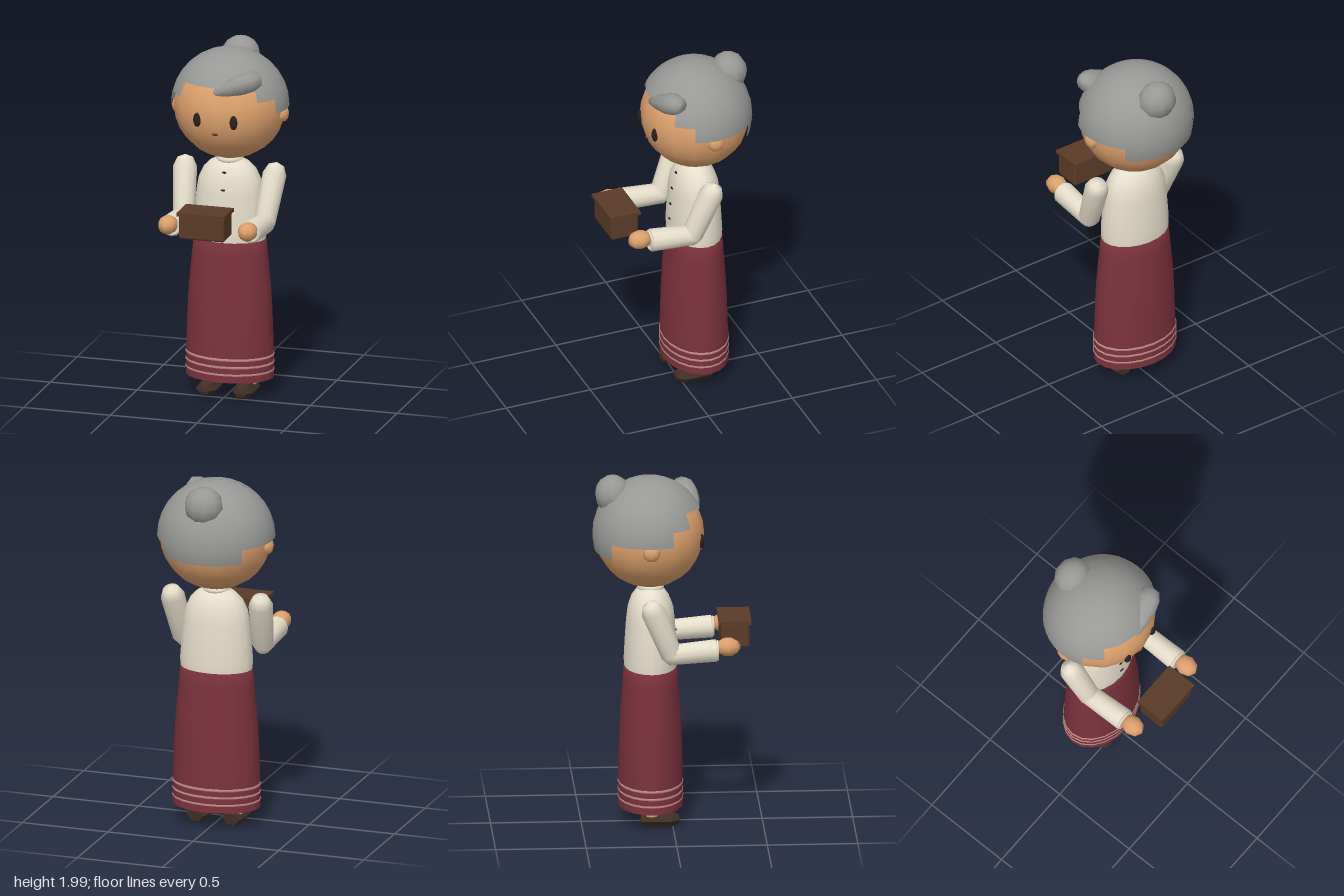
import * as THREE from 'three';
import { mergeGeometries } from 'three/addons/utils/BufferGeometryUtils.js';
import { RoundedBoxGeometry } from 'three/addons/geometries/RoundedBoxGeometry.js';

const mat = (color, side = THREE.FrontSide) => new THREE.MeshStandardMaterial({ color, side });
const V = (x, y, z) => new THREE.Vector3(x, y, z);
const UP = V(0, 1, 0);
const CZ = -0.117; // z of the body axis

export function createModel() {
  const model = new THREE.Group();
  model.name = 'womanWithBox';
  const skin = mat(0xdca06c), hairMat = mat(0x989896, THREE.DoubleSide);
  const cloth = mat(0xe6decb, THREE.DoubleSide), skirtMat = mat(0x7b323d, THREE.DoubleSide);
  const dark = mat(0x2a211d), shoeMat = mat(0x3f2e26), wood = mat(0x5b3b27), stripeMat = mat(0xc08a86, THREE.DoubleSide);

  const add = (name, geometry, material, pos = [0, 0, 0], parent = model) => {
    const mesh = new THREE.Mesh(geometry, material);
    mesh.name = name;
    mesh.position.set(...pos);
    parent.add(mesh);
    return mesh;
  };
  const ellipsoid = (rx, ry, rz, w = 12, h = 8) => new THREE.SphereGeometry(1, w, h).scale(rx, ry, rz);
  const lathe = (pts, segs, depth = 1) =>
    new THREE.LatheGeometry(pts.map(p => new THREE.Vector2(...p)), segs).scale(1, 1, depth);

  // A tapered, round-ended limb between two points
  const limb = (name, a, b, ra, rb, material, capA = 0.8, capB = 0.8) => {
    const len = a.distanceTo(b);
    const pts = [[0, -ra * capA], [ra * 0.65, -ra * capA * 0.75], [ra, 0], [rb, len],
      [rb * 0.65, len + rb * capB * 0.75], [0, len + rb * capB]];
    const mesh = add(name, lathe(pts, 12), material, a.toArray());
    mesh.quaternion.setFromUnitVectors(UP, b.clone().sub(a).normalize());
    return mesh;
  };

  // Head and face
  add('head', ellipsoid(0.313, 0.3, 0.303, 16, 14), skin, [0, 1.665, -0.123]);
  for (const s of [1, -1]) {
    add('ear', ellipsoid(0.035, 0.047, 0.048, 8, 6), skin, [s * 0.302, 1.635, -0.127]);
    add('eye', ellipsoid(0.023, 0.041, 0.018, 10, 8), dark, [s * 0.105, 1.645, 0.158]);
  }
  add('mouth', ellipsoid(0.018, 0.008, 0.008, 8, 6), mat(0x6b3a28), [0, 1.57, 0.163]);

  // Hair cap, sector by sector, with a stepped lower edge
  const sectors = [], step = Math.PI / 8, hairY = 1.665, hairR = 0.322;
  for (let i = 0; i < 16; i++) {
    const a = -Math.PI + i * step;
    const mid = Math.abs(a + step / 2) * 180 / Math.PI;
    const edge = mid < 45 ? 1.83 : mid < 67.5 ? 1.75 : mid < 135 ? 1.667 : 1.58;
    sectors.push(new THREE.SphereGeometry(1, 1, 8, a + Math.PI / 2, step, 0, Math.acos((edge - hairY) / hairR)));
  }
  add('hair', mergeGeometries(sectors).scale(0.328, hairR, 0.315), hairMat, [0, hairY, -0.123]);
  add('bun', ellipsoid(0.111, 0.108, 0.1, 10, 8), hairMat, [0, 1.892, -0.325]);

  // Swept lock over the forehead, thicker at its outer end
  const lock = add('forelock', lathe([[0, 0], [0.025, 0.03], [0.047, 0.1], [0.06, 0.18],
    [0.06, 0.24], [0.042, 0.285], [0, 0.3]], 10, 1.15), hairMat, [-0.035, 1.785, 0.135]);
  lock.quaternion.setFromUnitVectors(UP, V(0.265, 0.1, -0.08).normalize());

  // Neck, collar and blouse
  add('neck', new THREE.CylinderGeometry(0.055, 0.06, 0.09, 12), skin, [0, 1.375, CZ]);
  add('collar', new THREE.TorusGeometry(0.062, 0.014, 6, 14).rotateX(Math.PI / 2), cloth, [0, 1.358, CZ]);
  const blouse = [[0.203, 0.89], [0.208, 0.95], [0.2, 1.06], [0.19, 1.17], [0.178, 1.24],
    [0.15, 1.3], [0.11, 1.34], [0.06, 1.365]];
  add('blouse', lathe(blouse, 20, 0.71), cloth, [0, 0, CZ]);
  [[1.3, 0.15], [1.205, 0.184], [1.105, 0.196], [1.01, 0.204]].forEach(([y, r]) =>
    add('button', ellipsoid(0.013, 0.006, 0.007, 8, 6), dark, [0, y, CZ + r * 0.71]));

  // Long open skirt with three hem stripes
  add('skirt', lathe([[0.25, 0.11], [0.247, 0.3], [0.24, 0.5], [0.232, 0.63], [0.214, 0.82], [0.206, 0.905], [0.17, 0.906]],
    20, 0.72), skirtMat, [0, 0, CZ]);
  for (const y of [0.155, 0.198, 0.241]) {
    add('hemStripe', lathe([[0.248, y - 0.008], [0.254, y], [0.247, y + 0.008]], 20, 0.72), stripeMat, [0, 0, CZ]);
  }

  for (const s of [1, -1]) {
    // Arms bent forward
    const elbow = V(s * 0.233, 1.03, -0.012), wrist = V(s * 0.228, 1.05, 0.235);
    limb('upperArm', V(s * 0.258, 1.285, -0.115), elbow, 0.068, 0.06, cloth, 1, 1);
    limb('forearm', elbow, wrist, 0.058, 0.064, cloth, 0.8, 0.05);
    add('cuff', new THREE.TorusGeometry(0.052, 0.008, 6, 12), cloth, [s * 0.228, 1.05, 0.24]);
    add('hand', ellipsoid(0.056, 0.052, 0.07, 8, 7), skin, [s * 0.23, 1.07, 0.298]);

    // Legs and six-sided shoes
    add('leg', new THREE.CylinderGeometry(0.055, 0.05, 0.45, 12), skin, [s * 0.105, 0.295, CZ]);
    const shoe = lathe([[0, 0], [0.045, 0], [0.06, 0.025], [0.06, 0.165], [0.032, 0.21], [0, 0.217]], 6)
      .rotateX(Math.PI / 2).rotateZ(Math.PI / 6).toNonIndexed();
    shoe.scale(1, 0.77, 1).computeVertexNormals();
    add('shoe', shoe, shoeMat, [s * 0.105, 0.046, -0.176]);
  }

  // Lidded wooden box held in front
  add('boxBody', new RoundedBoxGeometry(0.262, 0.14, 0.16, 2, 0.014), wood, [0, 1.102, 0.345]);
  add('boxLid', new THREE.BoxGeometry(0.276, 0.02, 0.18), wood, [0, 1.176, 0.345]);

  return model;
}
